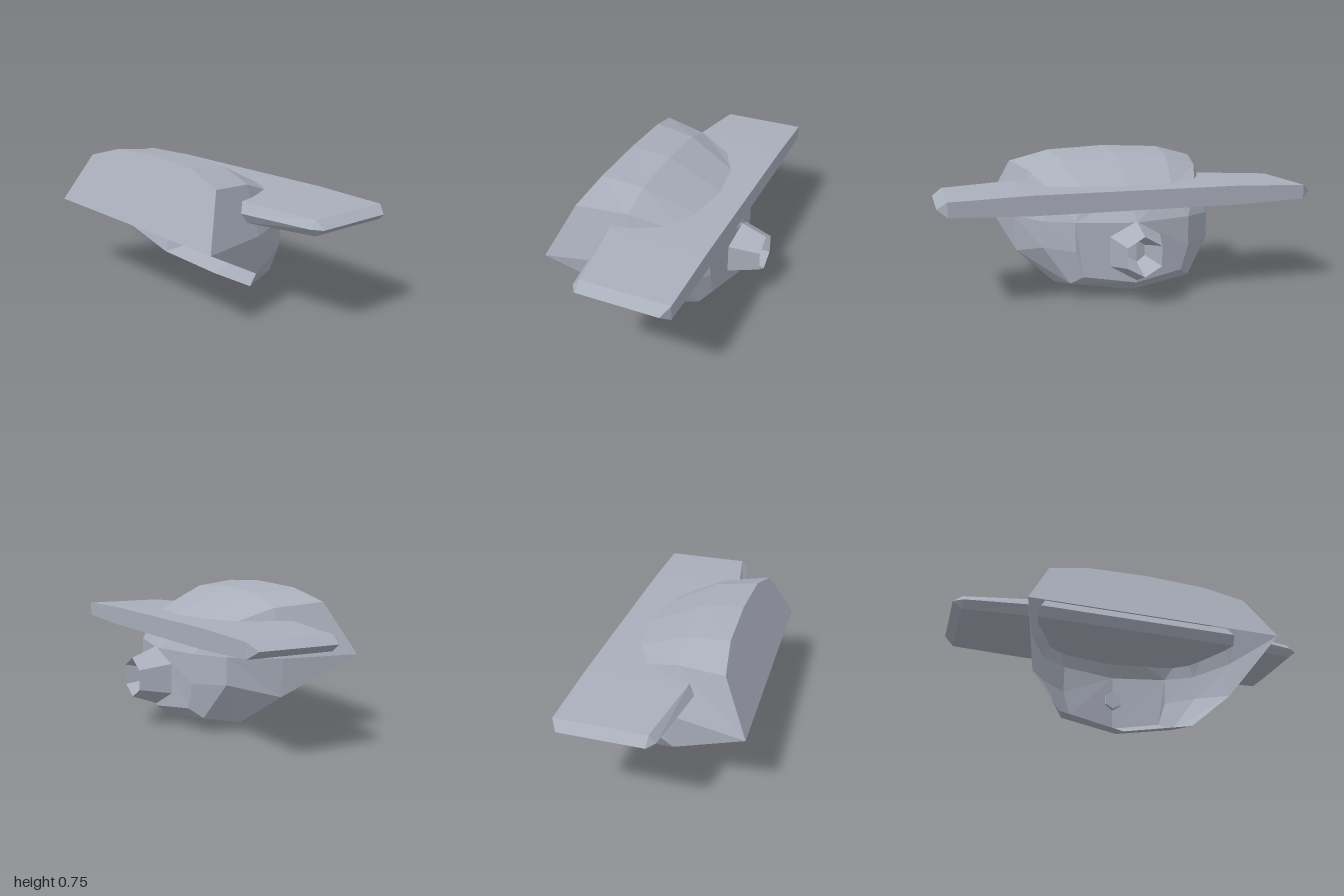
import * as THREE from 'three';

const grey = new THREE.MeshStandardMaterial({ color: 0xa9aebb, flatShading: true, side: THREE.DoubleSide });
grey.name = 'hullGrey';

// Faceted mesh from a list of convex polygons, each fanned from its first corner
function facetMesh(name, polygons) {
  const out = [];
  for (const p of polygons)
    for (let i = 1; i < p.length - 1; i++) out.push(...p[0], ...p[i], ...p[i + 1]);
  const geo = new THREE.BufferGeometry();
  geo.setAttribute('position', new THREE.Float32BufferAttribute(out, 3));
  geo.computeVertexNormals();
  const mesh = new THREE.Mesh(geo, grey);
  mesh.name = name;
  return mesh;
}

// Adds the other half, reversing the corners so it faces outwards
const mirrored = (polys) =>
  polys.concat(polys.map((p) => p.map(([x, y, z]) => [-x, y, z]).reverse()));

// Half cross-sections of the hull, each from top centre round to bottom centre
const face = [[0, .757, .31], [.33, .74, .318], [.55, .68, .348], [.67, .415, .48]];
const waist = [[0, .735, .09], [.31, .715, .09], [.485, .655, .09], [.575, .41, .09],
  [.56, .21, .09], [.38, .055, -.04], [0, .005, -.11]];
const rear = [[0, .58, -.23], [.24, .57, -.22], [.39, .56, -.17], [.46, .42, -.17],
  [.46, .28, -.17], [.33, .09, -.23], [0, .04, -.26]];
const back = [[.31, .425, -.28], [.31, .27, -.285], [.27, .135, -.285]];
const backTop = [0, .42, -.34], backBottom = [0, .1, -.34];

function makeHull() {
  const polys = [];
  // upper shell in front of the waist, ending in a point at the lower rim
  for (let k = 0; k < 3; k++) polys.push([face[k], face[k + 1], waist[k + 1], waist[k]]);
  polys.push([face[3], waist[4], waist[3]]);
  // full ring between waist and rear; the bowl below stays open at the front
  for (let k = 0; k < 6; k++) polys.push([waist[k], waist[k + 1], rear[k + 1], rear[k]]);
  // closing facets at the back
  polys.push(
    [rear[0], rear[1], back[0], backTop],
    [rear[1], rear[2], back[0]],
    [rear[2], rear[3], back[0]],
    [rear[3], rear[4], back[1], back[0]],
    [rear[4], rear[5], back[2], back[1]],
    [rear[5], rear[6], backBottom, back[2]],
    [...back, backBottom, backTop],
  );
  return facetMesh('hull', mirrored(polys));
}

// Flat sloping panel across the front
function makeFrontPanel() {
  return facetMesh('frontPanel', mirrored([[[0, .415, .48], face[3], face[2], face[1], face[0]]]));
}

// Wing slab: pointed leading edge, flat trailing edge, bevelled tips
function makeWing() {
  const section = (x, zFront, zTop, zBack, h) => [
    [x, .54, zFront], [x, .54 + h, zTop], [x, .54 + h, zBack],
    [x, .54 - h, zBack], [x, .54 - h, zTop]];
  const half = [section(.55, .197, .165, -.36, .051), section(.95, .135, .1, -.36, .038),
    section(1, .1, .095, -.325, 0)];
  const flip = (s) => s.map(([x, y, z]) => [-x, y, z]);
  const rows = [...half.map(flip).reverse(), ...half];
  const polys = [];
  for (let r = 0; r < rows.length - 1; r++)
    for (let i = 0; i < 5; i++) {
      const j = (i + 1) % 5, a = rows[r], b = rows[r + 1];
      polys.push([a[i], b[i], b[j], a[j]]);
    }
  return facetMesh('wing', polys);
}

// Six-sided nozzle with a tapering recess that ends in a small throat
function makeNozzle() {
  const profile = [[.157, -.31], [.105, -.48], [.052, -.32], [0, -.32]]
    .map(([r, z]) => new THREE.Vector2(r, z));
  const geo = new THREE.LatheGeometry(profile, 6).rotateX(Math.PI / 2);
  // seat the wide base on the angled back wall
  const p = geo.attributes.position;
  for (let i = 0; i < p.count; i++)
    if (Math.hypot(p.getX(i), p.getY(i)) > .12) p.setZ(i, -.342 + .19 * Math.abs(p.getX(i)));
  geo.computeVertexNormals();
  const mesh = new THREE.Mesh(geo, grey);
  mesh.name = 'nozzle';
  mesh.position.y = .27;
  return mesh;
}

export function createModel() {
  const model = new THREE.Group();
  model.name = 'glider';
  model.add(makeHull(), makeFrontPanel(), makeWing(), makeNozzle());
  return model;
}
